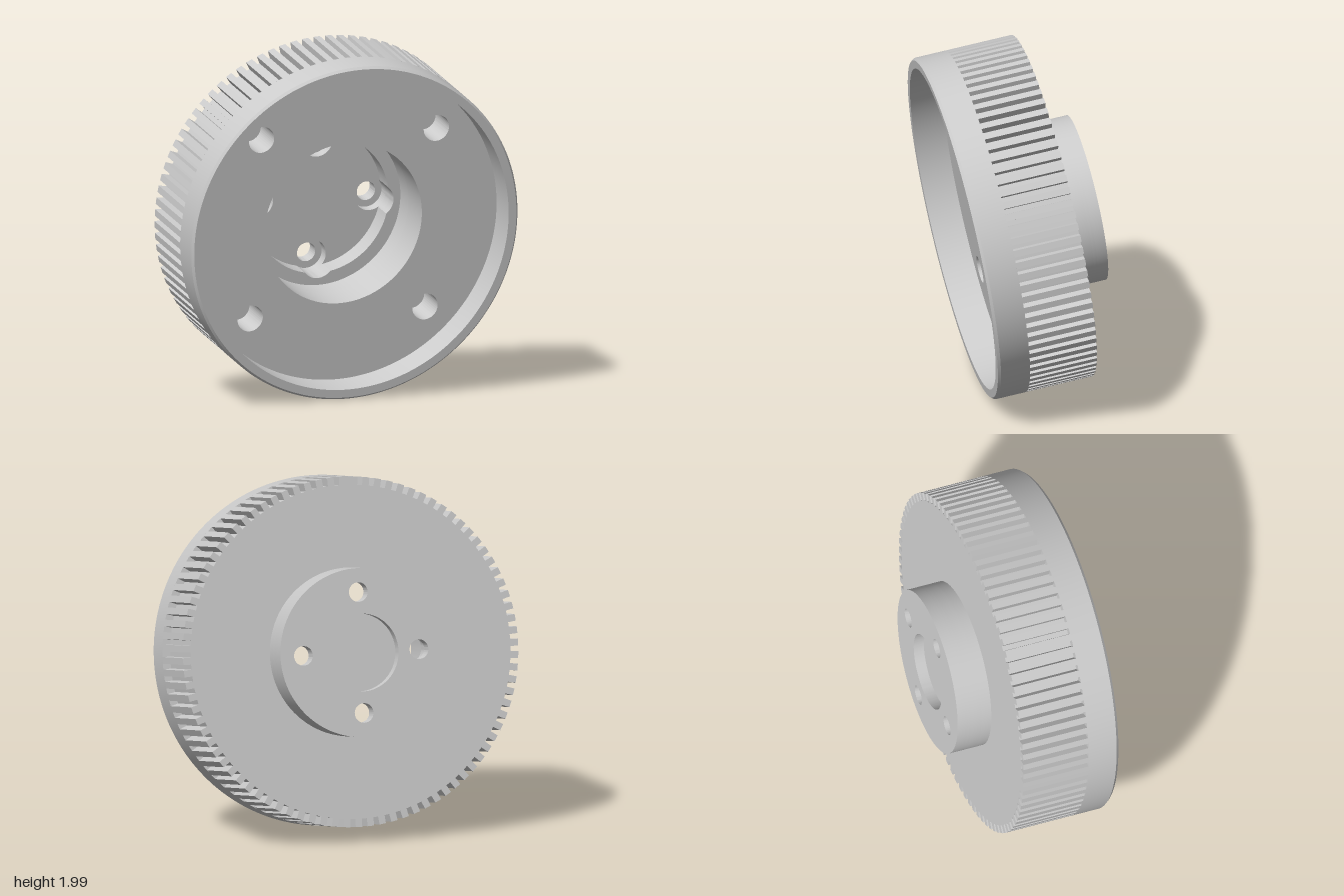
import * as THREE from 'three';
import { toCreasedNormals } from 'three/addons/utils/BufferGeometryUtils.js';

const R = 0.965;            // outer radius of rim and teeth
const BORE = 0.465;         // front bore, also the hub radius
const TEETH = 88, GROOVE = 0.045;
const BOLT = 0.333, CBORE = 0.0925; // bolt circle and counterbore radius

const material = new THREE.MeshStandardMaterial({ color: 0xcccccc });

const polar = (r, a) => new THREE.Vector2(r * Math.cos(a), r * Math.sin(a));

function circle(r, x = 0, y = 0, Type = THREE.Path) {
  const c = new Type();
  c.absarc(x, y, r, 0, Math.PI * 2, false);
  return c;
}

// Four equal holes on a circle
function fourHoles(r, distance, start) {
  return [0, 1, 2, 3].map((i) => {
    const p = polar(distance, start + i * Math.PI / 2);
    return circle(r, p.x, p.y);
  });
}

// Toothed outline, one tooth centred at the top
function gearShape() {
  const pts = [];
  const step = Math.PI * 2 / TEETH;
  for (let i = 0; i < TEETH; i++) {
    const a = Math.PI / 2 + i * step;
    pts.push(polar(R, a - step * 0.27), polar(R, a + step * 0.27));
    pts.push(polar(R - GROOVE, a + step * 0.29), polar(R - GROOVE, a + step * 0.71));
  }
  return new THREE.Shape(pts);
}

// Round opening widened where the four counterbores cut its wall
function notchedOpening() {
  const pts = [];
  const n = 288;
  for (let i = 0; i < n; i++) {
    const a = i / n * Math.PI * 2;
    const d = a - Math.round(a / (Math.PI / 2)) * Math.PI / 2;
    const s = BOLT * Math.sin(d);
    const far = Math.abs(s) < CBORE
      ? BOLT * Math.cos(d) + Math.sqrt(CBORE * CBORE - s * s) : 0;
    pts.push(polar(Math.max(0.395, far), a));
  }
  return new THREE.Path(pts);
}

// Slab between two depths measured back from the front rim
function slab(name, shape, holes, from, to) {
  shape.holes = holes;
  const geo = new THREE.ExtrudeGeometry(shape, {
    depth: to - from, bevelEnabled: false, curveSegments: 80,
  });
  geo.translate(0, 0, -to);
  const mesh = new THREE.Mesh(toCreasedNormals(geo, Math.PI / 7), material);
  mesh.name = name;
  return mesh;
}

// Smooth front rim with a small outer chamfer
function frontRim() {
  const profile = [
    [0.907, 0.18], [R, 0.18], [R, 0.015], [R - 0.012, 0], [0.907, 0], [0.907, 0.18],
  ].map(([r, d]) => new THREE.Vector2(r, -d));
  let geo = new THREE.LatheGeometry(profile, 160);
  // profile runs against the lathe's outward winding, so turn it around
  geo = new THREE.LatheGeometry(profile.map((p) => p.clone()), 160);
  geo.rotateX(Math.PI / 2);
  const mesh = new THREE.Mesh(toCreasedNormals(geo, Math.PI / 7), material);
  mesh.material = material.clone();
  mesh.material.side = THREE.DoubleSide;
  mesh.name = 'frontRim';
  return mesh;
}

export function createModel() {
  const wheel = new THREE.Group();
  wheel.name = 'toothedWheel';
  const hub = () => circle(BORE, 0, 0, THREE.Shape);
  const bolts = () => fourHoles(0.054, BOLT, 0);

  wheel.add(
    frontRim(),
    // toothed body: blind holes, deep bore, then the thin back web
    slab('bodyFront', gearShape(),
      [circle(BORE), ...fourHoles(0.075, 0.733, Math.PI / 4)], 0.18, 0.38),
    slab('bodyMiddle', gearShape(), [circle(BORE)], 0.38, 0.5),
    slab('bodyBack', gearShape(), [notchedOpening()], 0.5, 0.562),
    // hub: stepped recess, counterbores, bolt holes, shallow centre recess
    slab('hubWall', hub(), [notchedOpening()], 0.562, 0.62),
    slab('hubCounterbores', hub(), fourHoles(CBORE, BOLT, 0), 0.62, 0.68),
    slab('hubFloor', hub(), bolts(), 0.68, 0.7),
    slab('hubBack', hub(), [circle(0.215), ...bolts()], 0.7, 0.76),
  );

  // the whole wheel leans forward
  wheel.rotation.x = THREE.MathUtils.degToRad(9.3);
  wheel.position.set(0, 0.955, 0.3375);

  const model = new THREE.Group();
  model.name = 'model';
  model.add(wheel);
  return model;
}
